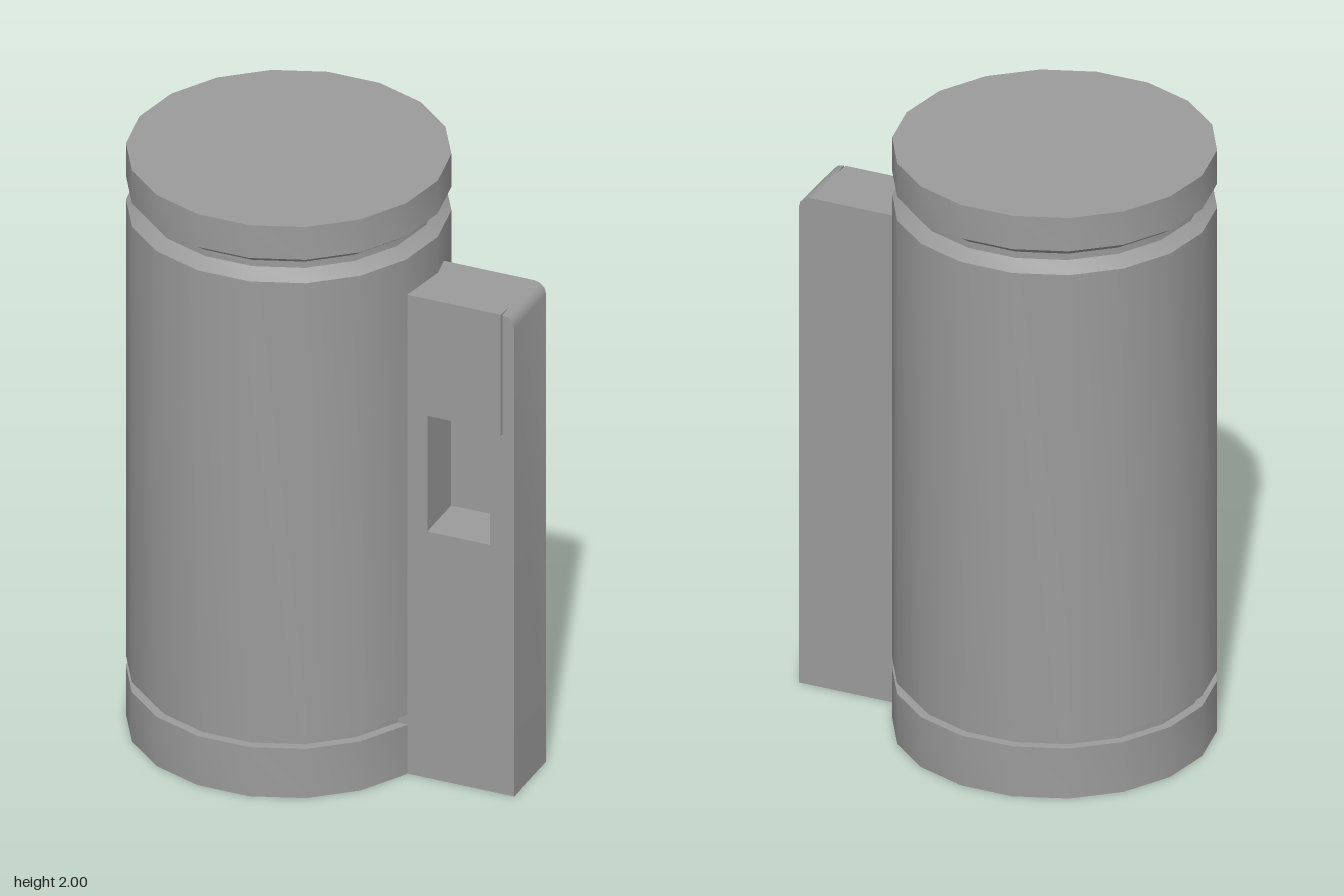
import * as THREE from 'three';
import { toCreasedNormals } from 'three/addons/utils/BufferGeometryUtils.js';

const SIDES = 18;
const CENTER_X = -0.165;
const BACK = -0.077, FRONT = 0.165, POCKET = -0.015;
const INNER = 0.22, OUTER = 0.664, TOP = 1.677, RADIUS = 0.039;

const toPoints = (pairs) => pairs.map(([x, y]) => new THREE.Vector2(x, y));

// Strip of wall that follows x/y points and spans z0 to z1
function ribbon(points, z0, z1) {
  const positions = [];
  for (let i = 0; i < points.length - 1; i++) {
    const a = points[i], b = points[i + 1];
    positions.push(a.x, a.y, z0, b.x, b.y, z0, b.x, b.y, z1);
    positions.push(a.x, a.y, z0, b.x, b.y, z1, a.x, a.y, z1);
  }
  const geometry = new THREE.BufferGeometry();
  geometry.setAttribute('position', new THREE.Float32BufferAttribute(positions, 3));
  return toCreasedNormals(geometry, 0.6);
}

// Flat plate with an optional hole, at depth z
function plate(points, z, hole) {
  const shape = new THREE.Shape(points);
  if (hole) shape.holes.push(new THREE.Path(hole));
  return new THREE.ShapeGeometry(shape).translate(0, 0, z);
}

export function createModel() {
  const model = new THREE.Group();
  model.name = 'canister';
  const material = new THREE.MeshStandardMaterial({ color: 0x9b9b9b, side: THREE.DoubleSide });
  const addMesh = (parent, name, geometry) => {
    const mesh = new THREE.Mesh(geometry, material);
    mesh.name = name;
    parent.add(mesh);
    return mesh;
  };

  // Open-bottomed body with a square groove low down and a bevelled groove under the lid
  const profile = toPoints([
    [0.5, 0], [0.5, 0.172], [0.47, 0.172], [0.47, 0.207], [0.5, 0.207],
    [0.5, 1.803], [0.46, 1.835], [0.46, 1.857], [0.5, 1.885], [0.5, 2],
  ]);
  const shell = new THREE.LatheGeometry(profile, SIDES, Math.PI / 2);
  addMesh(model, 'body', toCreasedNormals(shell, 0.45)).position.x = CENTER_X;

  // Flat lid top
  const lid = new THREE.CircleGeometry(0.5, SIDES).rotateX(-Math.PI / 2);
  addMesh(model, 'lidTop', lid).position.set(CENTER_X, 2, 0);

  // Hollow handle, open at the bottom, with a rounded outer top corner
  const handle = new THREE.Group();
  handle.name = 'handle';
  model.add(handle);
  const corner = [0, 1, 2, 3].map((i) => {
    const angle = (i * Math.PI) / 6;
    return [OUTER - RADIUS + RADIUS * Math.cos(angle), TOP - RADIUS + RADIUS * Math.sin(angle)];
  });
  const outer = [[OUTER, 0], ...corner];
  const inner = [[INNER, TOP], [INNER, 0]];
  const slitRight = OUTER - RADIUS, slitLeft = slitRight - 0.006, slitBottom = 1.25;
  const slitEdge = [[slitRight, slitBottom], [slitLeft, slitBottom], [slitLeft, TOP]];
  const windowHole = toPoints([
    [0.373, 0.863], [0.373, 1.268], [0.583, 1.268], [0.583, 0.863], [0.373, 0.863],
  ]);

  addMesh(handle, 'handleOuterWall', ribbon(toPoints(outer), BACK, FRONT));
  addMesh(handle, 'handleInnerWall', ribbon(toPoints(inner), BACK, FRONT));
  addMesh(handle, 'handleBack', plate(toPoints([...outer, ...inner]), BACK));
  addMesh(handle, 'handleFront', plate(toPoints([...outer, ...slitEdge, ...inner]), FRONT, windowHole));

  // Recessed window in the handle's front
  addMesh(handle, 'windowWalls', ribbon(windowHole, POCKET, FRONT));
  addMesh(handle, 'windowFloor', plate(windowHole, POCKET));

  // V-shaped slit and the handle's top, drawn in plan and laid flat
  const slit = [[slitLeft, -FRONT], [(slitLeft + slitRight) / 2, -0.11], [slitRight, -FRONT]];
  const topOutline = [[INNER, -FRONT], ...slit, [slitRight, -BACK], [INNER, -BACK]];
  const layFlat = (geometry) => geometry.rotateX(-Math.PI / 2);
  addMesh(handle, 'handleTop', layFlat(plate(toPoints(topOutline), TOP)));
  addMesh(handle, 'slitWalls', layFlat(ribbon(toPoints(slit), slitBottom, TOP)));
  addMesh(handle, 'slitFloor', layFlat(plate(toPoints(slit), slitBottom)));
  return model;
}
